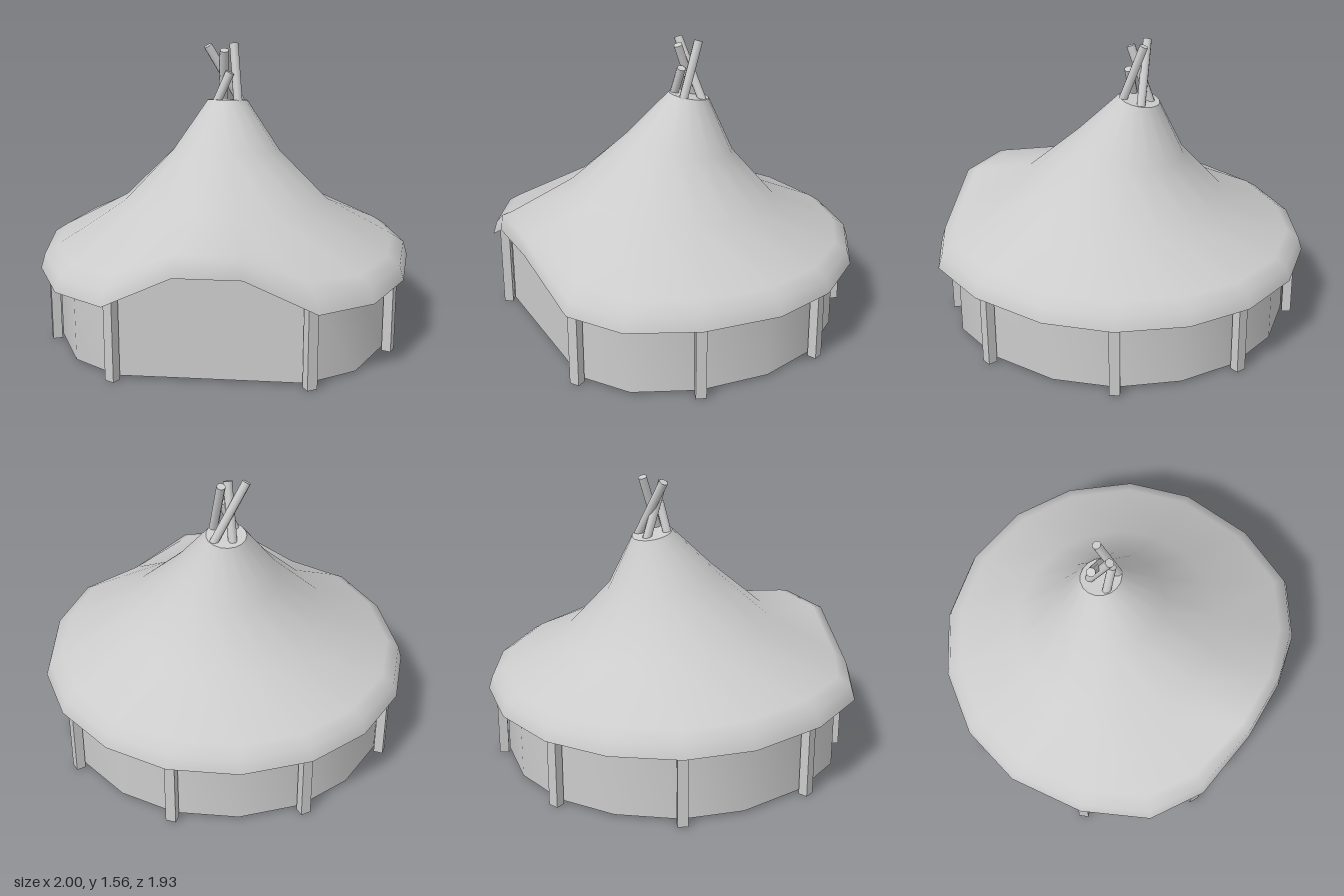
import * as THREE from 'three';

const N = 17; // sides of the tent
const material = new THREE.MeshStandardMaterial({ color: 0xcccccc, side: THREE.DoubleSide });

// Half of the eaves outline [x, z], from the middle of the back round to the front
const EAVES = [[0, -0.97], [0.37, -0.9], [0.67, -0.71], [0.9, -0.41], [1, -0.06],
  [0.96, 0.36], [0.8, 0.71], [0.53, 0.89], [0.17, 0.96]];

// Mirrored eaves corner for any index; half is the distance from the back corner
function corner(i) {
  const k = ((i % N) + N) % N;
  const half = Math.min(k, N - k);
  const [x, z] = EAVES[half];
  return { x: k > N / 2 ? -x : x, z, half };
}

// Skin between rings of points, listed from the top down
function loft(rings, closed) {
  const n = rings[0].length;
  const index = [];
  for (let r = 0; r < rings.length - 1; r++) {
    for (let i = 0; i < (closed ? n : n - 1); i++) {
      const j = (i + 1) % n;
      const a = r * n + i, b = r * n + j, c = a + n, d = b + n;
      index.push(a, b, c, b, d, c);
    }
  }
  const g = new THREE.BufferGeometry();
  g.setAttribute('position', new THREE.Float32BufferAttribute(rings.flat(2), 3));
  g.setIndex(index);
  g.computeVertexNormals();
  return g;
}

const range = (from, to, fn) => Array.from({ length: to - from + 1 }, (_, i) => fn(from + i));

// Round ring of the cone, tilted up towards the front
const coneRing = (radius, centerZ, y, slope) => range(0, N - 1, i => {
  const a = (i / N) * Math.PI * 2;
  const z = centerZ - radius * Math.cos(a);
  return [radius * Math.sin(a), y + slope * z, z];
});

// Ring following the eaves, with its own heights at the two raised front corners
const eavesRing = (scale, y, slope, shoulderY, frontY, frontScale) => range(0, N - 1, i => {
  const { x, z, half } = corner(i);
  const s = half === 8 ? frontScale : scale;
  const h = half === 8 ? frontY : half === 7 ? shoulderY : y + slope * (z + 1);
  return [x * s, h, z * s];
});

function add(group, name, geometry) {
  const mesh = new THREE.Mesh(geometry, material);
  mesh.name = name;
  group.add(mesh);
  return mesh;
}

export function createModel() {
  const model = new THREE.Group();
  model.name = 'tent';

  // Canvas roof with its drooping eaves and raised front
  const crown = coneRing(0.108, -0.075, 1.264, 0.19);
  add(model, 'roof', loft([
    crown,
    coneRing(0.29, -0.02, 0.99, 0.19),
    coneRing(0.555, 0.02, 0.72, 0.1),
    eavesRing(0.91, 0.5, 0.02, 0.55, 0.705, 0.935),
    eavesRing(0.978, 0.455, 0.02, 0.49, 0.69, 0.99),
    eavesRing(1, 0.385, 0.015, 0.415, 0.605, 1),
  ], true));

  // Small cap closing the peak
  const middle = crown.map(() => [0, 1.25, -0.075]);
  add(model, 'roofCap', loft([middle, crown], true));

  // Curved wall round the sides and back
  const wallScale = 0.9;
  const wallRing = y => range(-7, 7, i => {
    const { x, z } = corner(i);
    return [x * wallScale, y, z * wallScale];
  });
  add(model, 'wall', loft([wallRing(0.5), wallRing(0.012)], false));

  // Flat front panel rising to the lifted eaves
  const [sx, sz] = EAVES[7].map(v => v * wallScale);
  const panel = new THREE.Shape([[-sx, 0.012], [sx, 0.012], [sx, 0.5], [0.17, 0.69], [-0.17, 0.69], [-sx, 0.5]]
    .map(([x, y]) => new THREE.Vector2(x, y)));
  add(model, 'frontPanel', new THREE.ShapeGeometry(panel)).position.z = sz;

  // Posts standing at every second corner
  const posts = new THREE.Group();
  posts.name = 'posts';
  model.add(posts);
  for (const i of [1, 3, 5, 7, -1, -3, -5, -7]) {
    const { x, z } = corner(i);
    const post = add(posts, 'post', new THREE.BoxGeometry(0.055, 0.46, 0.05));
    post.position.set(x * 0.932, 0.23, z * 0.932);
    post.rotation.y = Math.atan2(x, z);
  }

  // Crossed pole ends above the peak: [tip, base]
  const poles = new THREE.Group();
  poles.name = 'poles';
  model.add(poles);
  const ends = [
    [[-0.105, 1.545, -0.065], [0.07, 1.23, -0.12]],
    [[-0.012, 1.53, -0.015], [-0.03, 1.23, -0.125]],
    [[0.03, 1.55, -0.115], [0.065, 1.23, 0]],
    [[0.018, 1.41, -0.02], [-0.06, 1.23, -0.01]],
  ];
  for (const [tip, base] of ends) {
    const t = new THREE.Vector3(...tip), b = new THREE.Vector3(...base);
    const axis = t.clone().sub(b);
    const pole = add(poles, 'pole', new THREE.CylinderGeometry(0.024, 0.024, axis.length(), 8));
    pole.position.copy(t).add(b).multiplyScalar(0.5);
    pole.quaternion.setFromUnitVectors(new THREE.Vector3(0, 1, 0), axis.normalize());
  }
  return model;
}
